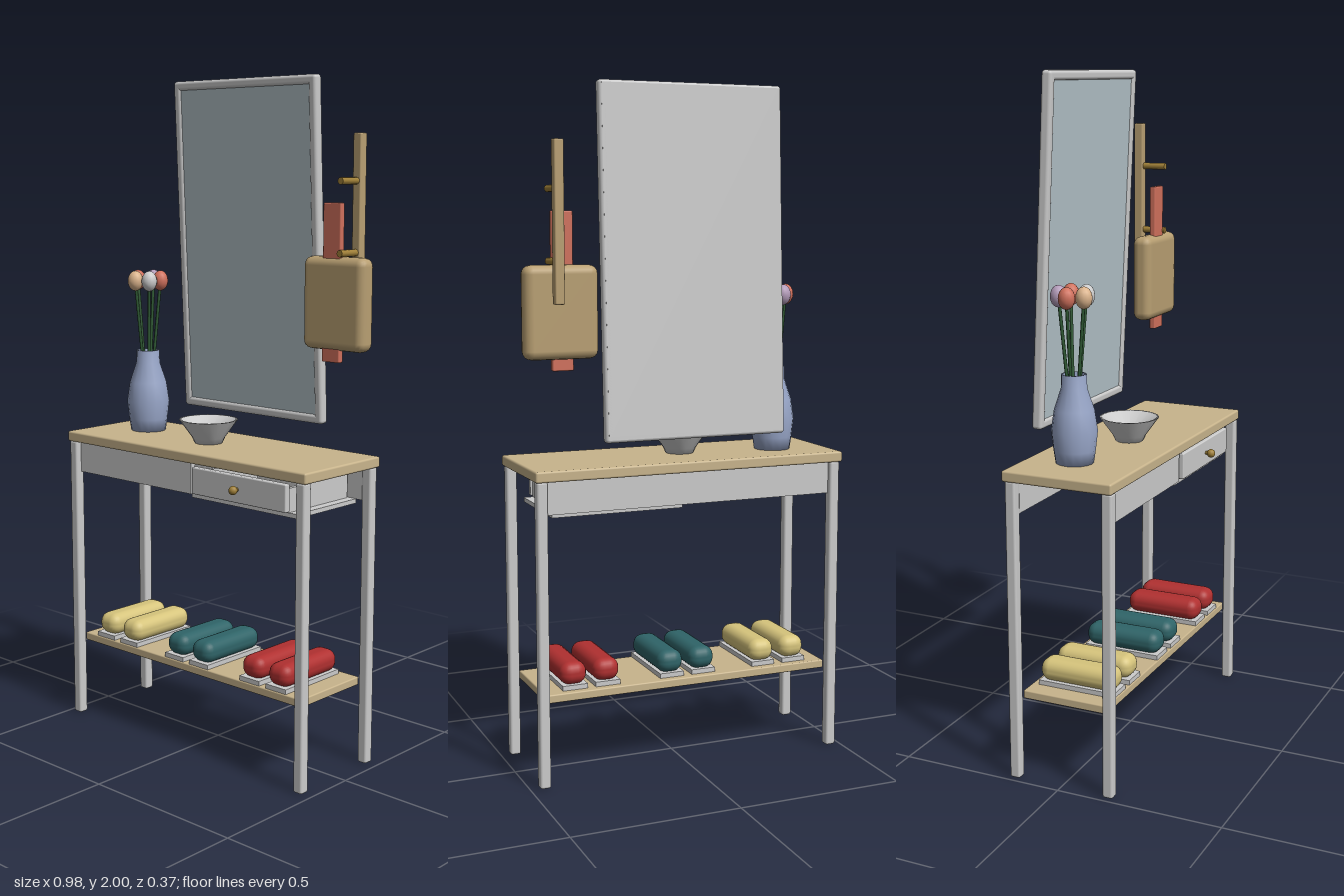
import * as THREE from 'three';
import { RoundedBoxGeometry } from 'three/addons/geometries/RoundedBoxGeometry.js';

const mat = (color, extra = {}) => new THREE.MeshStandardMaterial({ color, ...extra });
const grey = mat(0xcccccc), wood = mat(0xc8b48c), brass = mat(0xa08038);
const red = mat(0xd0705c), tan = mat(0xb89f72);

function add(parent, name, geometry, material, x = 0, y = 0, z = 0) {
  const mesh = new THREE.Mesh(geometry, material);
  mesh.name = name;
  mesh.position.set(x, y, z);
  parent.add(mesh);
  return mesh;
}

// Box given by its limits on each axis; r rounds the edges
function block(parent, name, material, [x0, x1], [y0, y1], [z0, z1], r = 0) {
  const s = [x1 - x0, y1 - y0, z1 - z0];
  const g = r ? new RoundedBoxGeometry(...s, 2, r) : new THREE.BoxGeometry(...s);
  return add(parent, name, g, material, (x0 + x1) / 2, (y0 + y1) / 2, (z0 + z1) / 2);
}

function group(parent, name) {
  const g = new THREE.Group();
  g.name = name;
  parent.add(g);
  return g;
}

function lathe(points, segments) {
  return new THREE.LatheGeometry(points.map(([r, y]) => new THREE.Vector2(r, y)), segments);
}

function buildTable(root) {
  const table = group(root, 'table');
  block(table, 'tableTop', wood, [-0.491, 0.477], [0.89, 0.922], [-0.169, 0.167], 0.006);
  for (const x of [-0.469, 0.456])
    for (const z of [-0.147, 0.149])
      block(table, 'leg', grey, [x - 0.016, x + 0.016], [0, 0.892], [z - 0.016, z + 0.016], 0.007);
  block(table, 'lowerShelf', wood, [-0.456, 0.443], [0.24, 0.265], [-0.13, 0.135], 0.004);

  // Aprons: full width at the back, half width in front beside the drawer
  block(table, 'backApron', grey, [-0.455, 0.442], [0.794, 0.89], [-0.148, -0.132]);
  block(table, 'frontApron', grey, [-0.455, 0.028], [0.794, 0.89], [0.13, 0.146]);

  // Drawer on a runner plate
  const drawer = group(table, 'drawer');
  block(drawer, 'runnerPlate', grey, [0.02, 0.42], [0.782, 0.795], [-0.132, 0.135]);
  block(drawer, 'drawerFront', grey, [0.038, 0.398], [0.798, 0.878], [0.136, 0.156], 0.004);
  for (const x of [0.045, 0.38])
    block(drawer, 'drawerSide', grey, [x, x + 0.012], [0.795, 0.864], [-0.125, 0.137]);
  block(drawer, 'drawerBack', grey, [0.045, 0.392], [0.795, 0.864], [-0.127, -0.115]);
  add(drawer, 'knob', new THREE.SphereGeometry(0.013, 14, 10), brass, 0.218, 0.838, 0.173);
  const stem = add(drawer, 'knobStem', new THREE.CylinderGeometry(0.006, 0.006, 0.02, 10), brass, 0.218, 0.838, 0.16);
  stem.rotation.x = Math.PI / 2;
}

function buildShoes(root) {
  const pairs = [[-0.363, -0.26, 0xd6c47c], [-0.06, 0.042, 0x2f6468], [0.245, 0.346, 0xb03030]];
  for (const [a, b, color] of pairs) {
    const pair = group(root, 'shoePair');
    for (const x of [a, b]) {
      block(pair, 'sole', grey, [x - 0.038, x + 0.038], [0.265, 0.279], [-0.108, 0.132]);
      add(pair, 'shoe', new RoundedBoxGeometry(0.08, 0.067, 0.24, 3, 0.03), mat(color), x, 0.309, 0.011);
    }
  }
}

function buildMirror(root) {
  const mirror = group(root, 'mirror');
  mirror.position.set(-0.007, 1.494, -0.144);
  mirror.rotation.x = 0.047;
  const w = 0.28, h = 0.503, d = 0.016, b = 0.028;
  for (const s of [-1, 1]) {
    const upright = new RoundedBoxGeometry(b, 2 * h, 2 * d, 3, 0.01);
    const rail = new RoundedBoxGeometry(2 * w, b, 2 * d, 3, 0.01);
    add(mirror, 'frameUpright', upright, grey, s * (w - b / 2), 0, 0);
    add(mirror, 'frameRail', rail, grey, 0, s * (h - b / 2), 0);
  }
  block(mirror, 'backPanel', grey, [-w + 0.008, w - 0.008], [-h + 0.008, h - 0.008], [-d, 0]);
  block(mirror, 'glass', mat(0xb4c3c9), [-w + 0.02, w - 0.02], [-h + 0.02, h - 0.02], [0, 0.01]);
}

function buildHanger(root) {
  const hanger = group(root, 'wallHanger');
  block(hanger, 'hookRail', tan, [0.385, 0.413], [1.383, 1.832], [-0.167, -0.138], 0.004);
  for (const y of [1.7, 1.5]) {
    const peg = add(hanger, 'peg', new THREE.CylinderGeometry(0.01, 0.01, 0.08, 12), brass, 0.4, y, -0.105);
    peg.rotation.x = Math.PI / 2;
  }
  block(hanger, 'bag', tan, [0.267, 0.486], [1.226, 1.49], [-0.122, -0.06], 0.025);
  block(hanger, 'scarf', red, [0.335, 0.398], [1.192, 1.64], [-0.09, -0.071], 0.004);
}

function buildVase(root) {
  const vase = group(root, 'flowerVase');
  vase.position.set(-0.324, 0.92, -0.025);
  const profile = [[0, 0], [0.054, 0], [0.06, 0.04], [0.066, 0.095], [0.057, 0.155], [0.037, 0.215],
    [0.036, 0.255], [0.031, 0.255], [0.031, 0.21], [0, 0.15]];
  add(vase, 'vase', lathe(profile, 16), mat(0x98a6c8, { side: THREE.DoubleSide }));

  // Five buds on slender stems fanning out of the neck
  const green = mat(0x2f5a34);
  const colors = [0xd0705c, 0xb49cba, 0xd0705c, 0xcccccc, 0xdcb48c];
  colors.forEach((color, i) => {
    const a = Math.PI + i * Math.PI * 0.4;
    const dir = new THREE.Vector3(Math.cos(a), 0, Math.sin(a));
    const from = dir.clone().multiplyScalar(0.012).setY(0.16);
    const to = dir.clone().multiplyScalar(0.041).setY(0.47);
    add(vase, 'stem', new THREE.TubeGeometry(new THREE.LineCurve3(from, to), 1, 0.005, 7), green);
    const bud = add(vase, 'bud', new THREE.SphereGeometry(0.024, 14, 10), mat(color), to.x, 0.472, to.z);
    bud.scale.y = 1.3;
  });
}

export function createModel() {
  const root = new THREE.Group();
  root.name = 'dressingTable';
  buildTable(root);
  buildShoes(root);
  buildMirror(root);
  buildHanger(root);
  buildVase(root);

  // Open bowl with a conical inside
  const bowl = lathe([[0, 0], [0.042, 0], [0.05, 0.018], [0.089, 0.072], [0.082, 0.072], [0, 0.018]], 16);
  add(root, 'bowl', bowl, mat(0xcccccc, { side: THREE.DoubleSide }), -0.031, 0.921, 0.009);
  return root;
}
